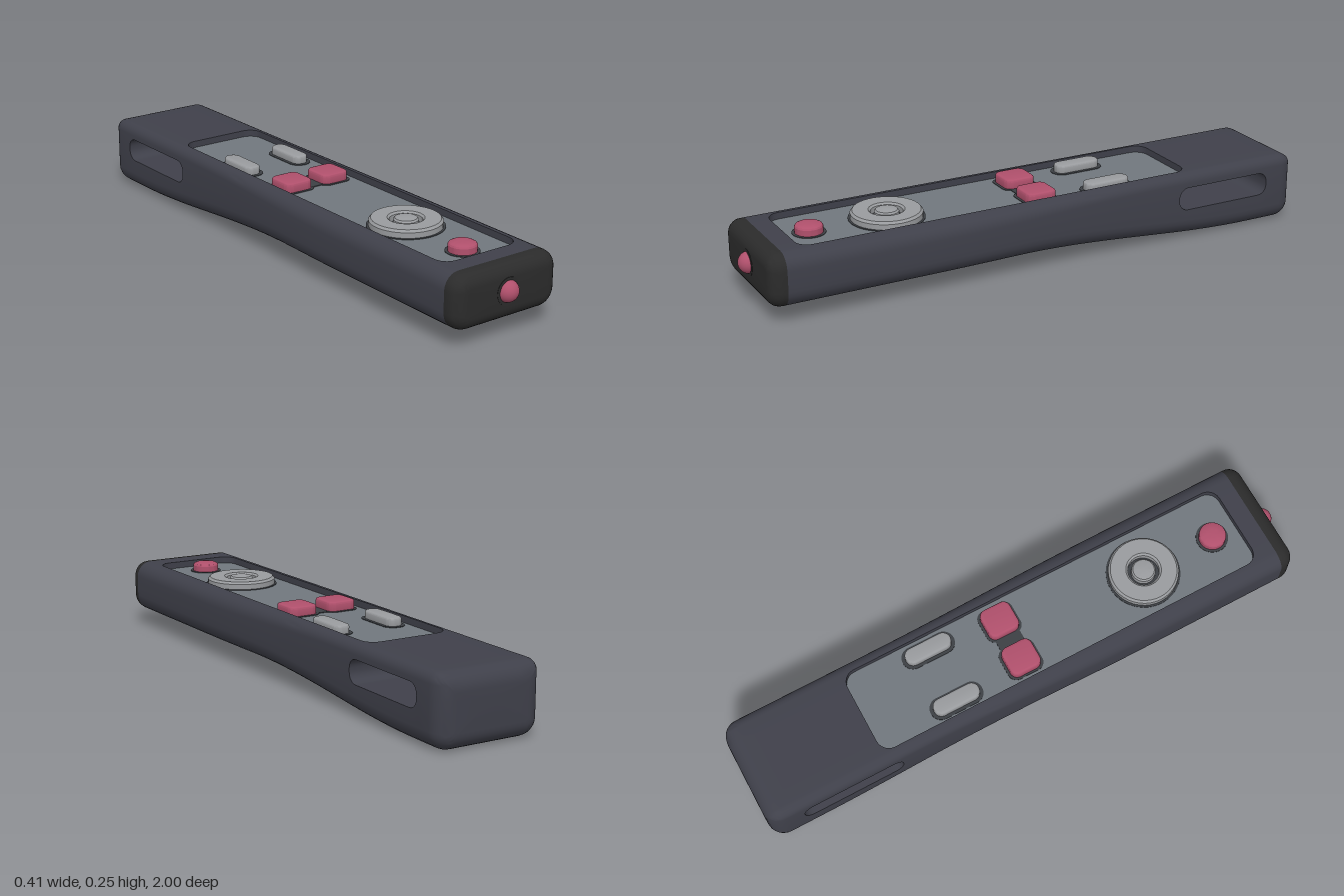
import * as THREE from 'three';
import { toCreasedNormals } from 'three/addons/utils/BufferGeometryUtils.js';

const material = (name, color) => {
  const m = new THREE.MeshStandardMaterial({ color });
  m.name = name;
  return m;
};

const BACK = -1, FRONT = 0.97, SEAM = 0.915, TOP = 0.24, FLOOR = 0.217;
const PANEL = { z0: -0.57, z1: 0.85, h: 0.15, r: 0.045 };
const SLOT = { z0: -0.88, z1: -0.52, h: 0.04, r: 0.034, y: 0.15 };

// half width of a rounded rectangle running along z
function halfAt({ z0, z1, h, r }, z) {
  const d = THREE.MathUtils.clamp(Math.min(z - z0, z1 - z), 0, r);
  return h - r + Math.sqrt(r * r - (r - d) ** 2);
}
// z stations that follow the rounded ends
function stations({ z0, z1, r }) {
  const out = [];
  for (let i = 0; i <= 6; i++) {
    const d = r * (1 - Math.cos((i / 6) * Math.PI / 2));
    out.push(z0 + d, z1 - d);
  }
  return out;
}

// one closed cross-section of the case, clockwise seen from the front
function ring(z) {
  const s = THREE.MathUtils.smoothstep;
  const w0 = 0.205 - 0.017 * s(-z, -0.4, 0.45);
  const endR = z > 0 ? 0.045 : 0.058;
  const d = Math.min(z - BACK, FRONT - z, endR);
  const inset = endR - Math.sqrt(Math.max(0, endR * endR - (endR - d) ** 2));
  const w = w0 - inset, top = TOP - inset;
  const bottom = 0.058 * (1 - s(-z, -0.1, 0.82)) + inset;
  const rt = Math.max(0.012, w0 - 0.153 - inset), rb = Math.max(0.015, 0.06 - inset);
  const sh = halfAt(SLOT, z);
  const half = [[0, top], [halfAt(PANEL, z), top]];
  for (let i = 0; i <= 6; i++) {
    const a = (i / 6) * Math.PI / 2;
    half.push([w - rt + rt * Math.sin(a), top - rt + rt * Math.cos(a)]);
  }
  half.push([w, SLOT.y + sh], [w, SLOT.y - sh]);
  for (let i = 0; i <= 6; i++) {
    const a = (i / 6) * Math.PI / 2;
    half.push([w - rb + rb * Math.cos(a), bottom + rb - rb * Math.sin(a)]);
  }
  half.push([0, bottom]);
  const left = half.slice(1, -1).reverse().map(([x, y]) => [-x, y]);
  return [...half, ...left].map(([x, y]) => new THREE.Vector3(x, y, z));
}

// skin over the sections, leaving out the panel recess and the strap slot
function caseGeometry(zList, capBack, capFront) {
  const pos = [];
  const tri = (...p) => p.forEach(v => pos.push(v.x, v.y, v.z));
  const quad = (a, b, c, d) => { tri(a, b, c); tri(a, c, d); };
  const low = v => new THREE.Vector3(v.x, FLOOR, v.z);
  const zs = zList.sort((a, b) => a - b).filter((z, i, a) => !i || z - a[i - 1] > 1e-4);
  const rings = zs.map(ring), n = rings[0].length;
  const within = (o, z) => z > o.z0 && z < o.z1;
  for (let i = 0; i + 1 < rings.length; i++) {
    const A = rings[i], B = rings[i + 1], mid = (zs[i] + zs[i + 1]) / 2;
    const inPanel = within(PANEL, mid), inSlot = within(SLOT, mid);
    for (let j = 0; j < n; j++) {
      const k = (j + 1) % n;
      if (inPanel && (j === 0 || j === n - 1)) continue;
      if (inSlot && (j === 9 || j === n - 10)) continue;
      quad(B[j], B[k], A[k], A[j]);
    }
    if (inPanel) {
      quad(A[1], low(A[1]), low(B[1]), B[1]);
      quad(A[n - 1], B[n - 1], low(B[n - 1]), low(A[n - 1]));
    }
    if (inSlot) {
      quad(A[n - 9], A[9], B[9], B[n - 9]);
      quad(A[n - 10], B[n - 10], B[10], A[10]);
    }
  }
  // end walls of the recess and slot
  rings.forEach((R, i) => {
    const at = z => Math.abs(zs[i] - z) < 1e-4;
    if (at(PANEL.z0)) quad(low(R[n - 1]), low(R[1]), R[1], R[n - 1]);
    if (at(PANEL.z1)) quad(R[n - 1], R[1], low(R[1]), low(R[n - 1]));
    if (at(SLOT.z0)) quad(R[n - 10], R[10], R[9], R[n - 9]);
    if (at(SLOT.z1)) quad(R[n - 9], R[9], R[10], R[n - 10]);
  });
  // flat ends
  const close = (R, front) => {
    const c = new THREE.Vector3(0, SLOT.y, R[0].z);
    R.forEach((p, j) => (front ? tri(c, R[(j + 1) % n], p) : tri(c, p, R[(j + 1) % n])));
  };
  if (capBack) close(rings[0], false);
  if (capFront) close(rings[rings.length - 1], true);
  const g = new THREE.BufferGeometry();
  g.setAttribute('position', new THREE.Float32BufferAttribute(pos, 3));
  return toCreasedNormals(g, 0.6);
}

function roundedRect(w, d, r) {
  const s = new THREE.Shape(), x = w / 2, y = d / 2;
  s.moveTo(-x + r, -y);
  s.absarc(x - r, -y + r, r, -Math.PI / 2, 0);
  s.absarc(x - r, y - r, r, 0, Math.PI / 2);
  s.absarc(-x + r, y - r, r, Math.PI / 2, Math.PI);
  s.absarc(-x + r, -y + r, r, Math.PI, Math.PI * 1.5);
  return s;
}

// horizontal rounded block rising by h from its base
function padGeometry(w, d, r, h, bevel = 0) {
  const g = new THREE.ExtrudeGeometry(roundedRect(w, d, r), {
    depth: h - bevel, curveSegments: 8, bevelEnabled: bevel > 0,
    bevelThickness: bevel, bevelSize: bevel, bevelOffset: -bevel, bevelSegments: 3,
  });
  return toCreasedNormals(g.rotateX(-Math.PI / 2), 0.6);
}

const turned = pts => toCreasedNormals(
  new THREE.LatheGeometry(pts.map(p => new THREE.Vector2(...p)), 40), 0.5);

export function createModel() {
  const shell = material('shell slate', 0x3f404a);
  const cap = material('cap black', 0x2b2b2b);
  const plate = material('panel grey', 0x70777d);
  const gap = material('gap dark grey', 0x3c3f44);
  const light = material('button light grey', 0x999b9e);
  const rose = material('button rose', 0xb0506c);

  const model = new THREE.Group();
  model.name = 'remoteControl';
  const add = (name, geometry, mat, x = 0, y = 0, z = 0) => {
    const m = new THREE.Mesh(geometry, mat);
    m.name = name;
    m.position.set(x, y, z);
    model.add(m);
    return m;
  };

  // case and front cap
  const bodyZ = [...stations(PANEL), ...stations(SLOT), SEAM];
  for (let i = 0; i <= 8; i++) bodyZ.push(BACK + 0.058 * (1 - Math.cos(i / 8 * Math.PI / 2)));
  for (let z = -0.9; z < 0.85; z += 0.06) bodyZ.push(z);
  add('caseBody', caseGeometry(bodyZ, true, false), shell);
  const capZ = [SEAM];
  for (let i = 0; i <= 8; i++) capZ.push(FRONT - 0.045 * (1 - Math.cos(i / 8 * Math.PI / 2)));
  add('frontCap', caseGeometry(capZ, false, true), cap);

  // front lens
  add('lensRing', new THREE.CylinderGeometry(0.045, 0.045, 0.004, 40).rotateX(Math.PI / 2), gap, 0, 0.155, FRONT - 0.001).material = cap;
  add('lens', new THREE.SphereGeometry(0.036, 32, 20), rose, 0, 0.155, 0.964);

  // recessed panel
  add('panel', padGeometry(0.304, 1.424, 0.047, 0.01), plate, 0, FLOOR - 0.01, 0.14);

  // long keys and square keys, mirrored
  for (const [side, s] of [['left', 1], ['right', -1]]) {
    add(side + 'LongKeyGap', padGeometry(0.078, 0.19, 0.038, 0.002), gap, s * 0.1, FLOOR, -0.275);
    add(side + 'LongKey', padGeometry(0.056, 0.166, 0.027, 0.029, 0.007), light, s * 0.1, FLOOR, -0.275);
    add(side + 'SquareKeyGap', padGeometry(0.12, 0.128, 0.03, 0.002), gap, s * 0.075, FLOOR, -0.02);
    add(side + 'SquareKey', padGeometry(0.106, 0.11, 0.025, 0.033, 0.008), rose, s * 0.075, FLOOR, -0.02);
  }
  add('squareKeyBridge', padGeometry(0.06, 0.09, 0.005, 0.0025), gap, 0, FLOOR, -0.02);

  // control ring with centre button
  add('ringGap', new THREE.CylinderGeometry(0.126, 0.126, 0.002, 48), gap, 0, FLOOR + 0.001, 0.49);
  add('controlRing', turned([[0.119, 0], [0.119, 0.02], [0.112, 0.028], [0.06, 0.028], [0.053, 0.022], [0.053, 0]]), light, 0, FLOOR, 0.49);
  add('centreButton', turned([[0.041, 0], [0.041, 0.022], [0.036, 0.028], [0.02, 0.031], [0, 0.032]]), light, 0, FLOOR, 0.49);

  // round button
  add('roundButtonGap', new THREE.CylinderGeometry(0.055, 0.055, 0.002, 40), gap, 0, FLOOR + 0.001, 0.76);
  add('roundButton', turned([[0.046, 0], [0.046, 0.022], [0.043, 0.027], [0.035, 0.031], [0.018, 0.033], [0, 0.0335]]), rose, 0, FLOOR, 0.76);

  return model;
}
